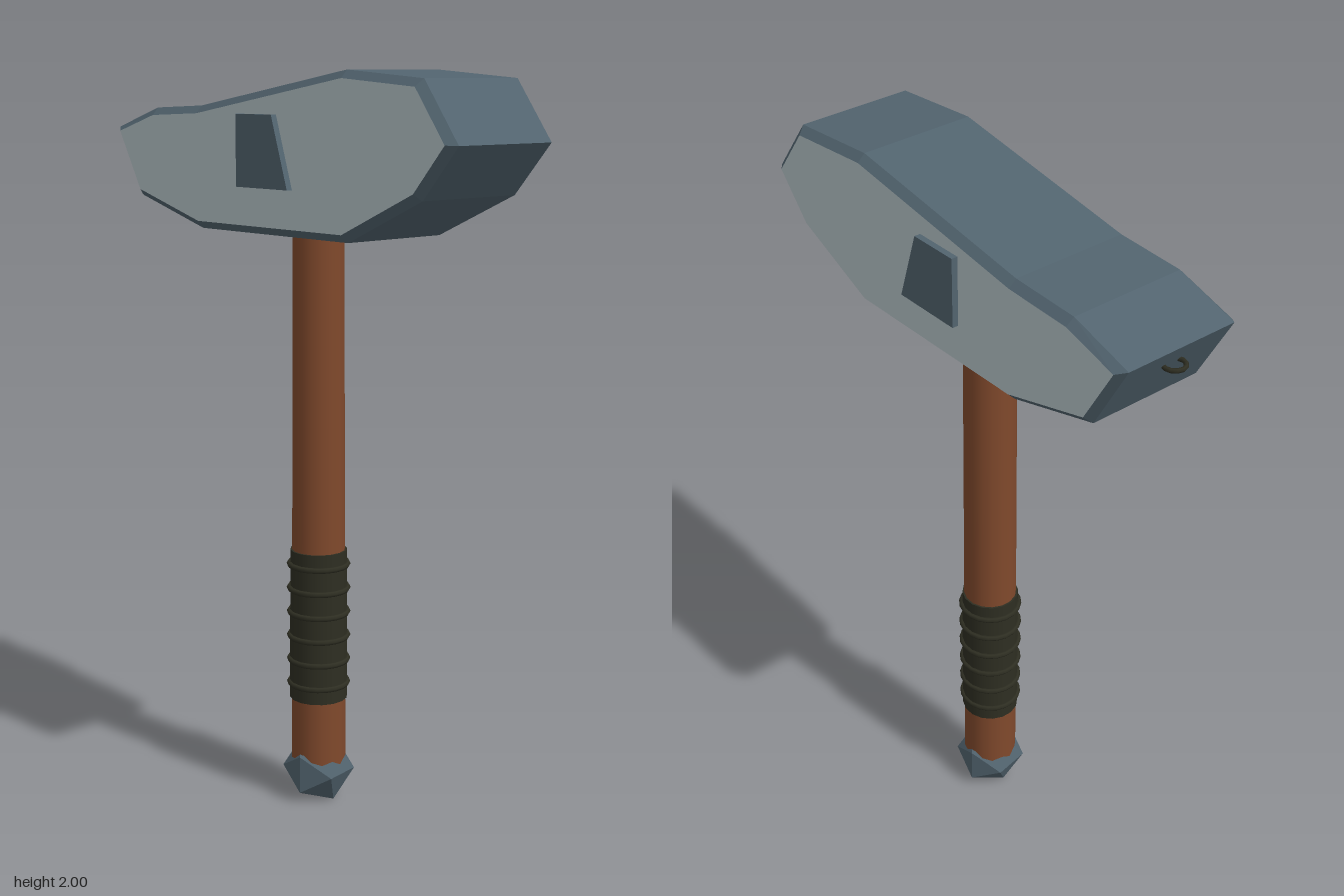
import * as THREE from 'three';

const mat = (name, color) => {
  const m = new THREE.MeshStandardMaterial({ color });
  m.name = name;
  return m;
};

const shapeOf = (pts) => new THREE.Shape(pts.map(([x, y]) => new THREE.Vector2(x, y)));

export function createModel() {
  const steel = mat('slate steel', 0x52646f);
  const polished = mat('polished steel', 0xb8c6ca);
  const wood = mat('brown wood', 0x80492c);
  const leather = mat('dark leather', 0x2e2e22);

  const model = new THREE.Group();
  model.name = 'hammer';
  const add = (parent, name, geometry, material, x = 0, y = 0, z = 0) => {
    const mesh = new THREE.Mesh(geometry, material);
    mesh.name = name;
    mesh.position.set(x, y, z);
    parent.add(mesh);
    return mesh;
  };

  // Pommel and shaft
  add(model, 'pommel', new THREE.IcosahedronGeometry(0.1, 0), steel, 0, 0.085, 0);
  add(model, 'shaft', new THREE.CylinderGeometry(0.068, 0.076, 1.6, 16), wood, 0, 0.9, 0);

  // Leather grip with raised bands
  const grip = new THREE.Group();
  grip.name = 'grip';
  model.add(grip);
  add(grip, 'gripWrap', new THREE.CylinderGeometry(0.078, 0.08, 0.425, 16), leather, 0, 0.508, 0);
  for (let i = 0; i < 6; i++) {
    const band = add(grip, 'gripBand', new THREE.TorusGeometry(0.08, 0.008, 6, 20), leather, 0, 0.339 + i * 0.068, 0);
    band.rotation.x = Math.PI / 2;
  }

  // Head, turned slightly about the shaft
  const head = new THREE.Group();
  head.name = 'head';
  head.rotation.y = -0.177;
  model.add(head);

  // Bevelled block: polished faces, slate rim
  const outline = shapeOf([
    [0.653, 1.83], [0.54, 1.98], [0.28, 2.0], [-0.286, 1.908], [-0.48, 1.9],
    [-0.657, 1.845], [-0.555, 1.66], [-0.286, 1.585], [0.286, 1.585], [0.54, 1.7],
  ]);
  const block = new THREE.ExtrudeGeometry(outline, {
    depth: 0.32, bevelEnabled: true, bevelThickness: 0.02,
    bevelSize: 0.02, bevelOffset: -0.02, bevelSegments: 1,
  });
  add(head, 'headBlock', block, [polished, steel], 0, 0, -0.16);

  // Slanted plate on each face
  const plateShape = shapeOf([[-0.1, 1.705], [0.1, 1.705], [0.04, 1.89], [-0.1, 1.89]]);
  const plate = new THREE.ExtrudeGeometry(plateShape, { depth: 0.025, bevelEnabled: false });
  add(head, 'frontPlate', plate, steel, 0, 0, 0.172);
  add(head, 'backPlate', plate, steel, 0, 0, -0.197);

  // Small ring set into the narrow end
  const ring = add(head, 'endRing', new THREE.TorusGeometry(0.027, 0.006, 6, 12), leather, -0.636, 1.79, 0);
  ring.rotation.x = Math.PI / 2;

  return model;
}
